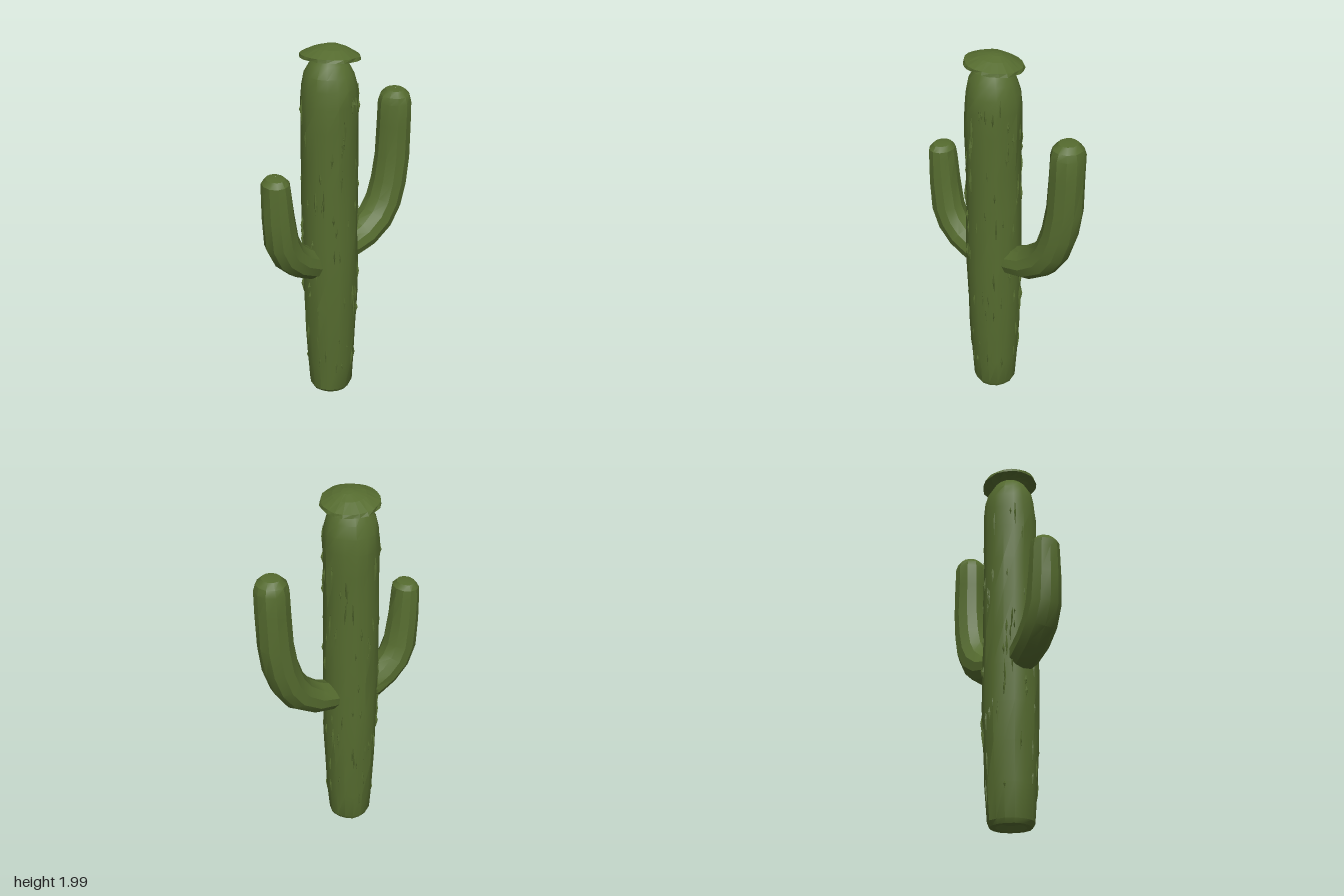
import * as THREE from 'three';
import { mergeGeometries, toCreasedNormals } from 'three/addons/utils/BufferGeometryUtils.js';

const TRUNK_Z = 0.062;

// small seeded random source
function seeded(seed) {
  return () => {
    seed = (seed * 16807) % 2147483647;
    return seed / 2147483647;
  };
}

// Skin a row of elliptical sections [y, z, rx, rn]; each lies across the path,
// or level when upright is true. Radii are roughened by the jitter amount.
function loft(sections, sides, { upright = false, jitter = 0, seed = 7, crease = 0.5 } = {}) {
  const rand = seeded(seed);
  const pos = [], index = [];
  sections.forEach(([y, z, rx, rn], i) => {
    const before = sections[Math.max(i - 1, 0)];
    const after = sections[Math.min(i + 1, sections.length - 1)];
    let ty = 1, tz = 0;
    if (!upright) {
      const len = Math.hypot(after[0] - before[0], after[1] - before[1]);
      ty = (after[0] - before[0]) / len;
      tz = (after[1] - before[1]) / len;
    }
    for (let j = 0; j < sides; j++) {
      const a = (j / sides) * Math.PI * 2;
      const k = 1 + (rand() - 0.5) * 2 * jitter;
      const n = Math.sin(a) * rn * k;
      pos.push(Math.cos(a) * rx * k, y - tz * n, z + ty * n);
    }
  });
  for (let i = 0; i < sections.length - 1; i++) {
    for (let j = 0; j < sides; j++) {
      const a = i * sides + j, b = i * sides + (j + 1) % sides;
      index.push(a, a + sides, b, b, a + sides, b + sides);
    }
  }
  const g = new THREE.BufferGeometry();
  g.setAttribute('position', new THREE.Float32BufferAttribute(pos, 3));
  g.setIndex(index);
  return toCreasedNormals(g, crease);
}

// Trunk profile [y, radius], from the hollow under the base to the crown
const trunkProfile = [
  [0.035, 0.001], [0.03, 0.05], [0.008, 0.075], [0.008, 0.105], [0.03, 0.117],
  [0.2, 0.128], [0.4, 0.138], [0.6, 0.144], [0.8, 0.147], [1.0, 0.144],
  [1.2, 0.143], [1.4, 0.14], [1.6, 0.142], [1.72, 0.142], [1.8, 0.135],
  [1.86, 0.118], [1.91, 0.09], [1.94, 0.06], [1.95, 0.001],
];

function trunkRadius(y) {
  const i = Math.max(trunkProfile.findIndex(p => p[0] > y && p[1] > 0.11), 5);
  const [y0, r0] = trunkProfile[i - 1], [y1, r1] = trunkProfile[i];
  return r0 + (r1 - r0) * (y - y0) / (y1 - y0);
}

// Narrow upright slivers of bark standing off the trunk
function barkRidges(count) {
  const rand = seeded(4321);
  const parts = [];
  for (let i = 0; i < count; i++) {
    const y = 0.18 + rand() * 1.58;
    const length = 0.04 + rand() * 0.13;
    const a = i * 2.39996 + rand() * 0.4;
    const r = trunkRadius(y) - 0.002;
    const g = new THREE.OctahedronGeometry(1);
    g.scale(0.004 + rand() * 0.004, length / 2, 0.006 + rand() * 0.006);
    g.rotateZ((rand() - 0.5) * 0.12);
    g.translate(0, y, r);
    g.rotateY(a);
    g.translate(0, 0, TRUNK_Z);
    parts.push(g);
  }
  return mergeGeometries(parts);
}

// Crown: ragged skirt of folds below, shallow tilted dome above
function crownGeometry() {
  const g = loft([
    [1.915, 0, 0.06, 0.06], [1.925, 0, 0.085, 0.085], [1.935, 0, 0.11, 0.105],
    [1.932, 0, 0.15, 0.143], [1.948, 0, 0.146, 0.138], [1.978, -0.005, 0.085, 0.08],
    [1.993, -0.015, 0.03, 0.03], [1.996, -0.015, 0.001, 0.001],
  ], 22, { upright: true, jitter: 0.025, seed: 99, crease: 0.45 });
  const p = g.attributes.position;
  for (let i = 0; i < p.count; i++) {
    const x = p.getX(i), z = p.getZ(i), r = Math.hypot(x, z);
    const fold = p.getY(i) < 1.94 && r < 0.125 ? Math.sin(Math.atan2(z, x) * 11 + 0.7) * 0.012 : 0;
    p.setY(i, Math.min(2, p.getY(i) + x * 0.07 + z * 0.1 + fold));
  }
  g.computeVertexNormals();
  g.translate(0, 0, 0.056);
  return g;
}

export function createModel() {
  const model = new THREE.Group();
  model.name = 'cactus';
  const green = new THREE.MeshStandardMaterial({ color: 0x556b2f });
  green.name = 'cactus green';

  const add = (name, geometry) => {
    const mesh = new THREE.Mesh(geometry, green);
    mesh.name = name;
    model.add(mesh);
  };

  add('trunk', loft(trunkProfile.map(([y, r]) => [y, TRUNK_Z, r, r]), 16,
    { upright: true, jitter: 0.025, seed: 21 }));
  add('barkRidges', barkRidges(110));
  add('crown', crownGeometry());

  // Short arm curving up at the front
  add('frontArm', loft([
    [0.83, 0.1, 0.07, 0.07], [0.85, 0.19, 0.083, 0.085], [0.9, 0.275, 0.09, 0.087],
    [0.965, 0.34, 0.09, 0.088], [1.05, 0.378, 0.09, 0.088], [1.2, 0.394, 0.086, 0.078],
    [1.34, 0.4, 0.08, 0.07], [1.385, 0.402, 0.075, 0.066], [1.41, 0.402, 0.052, 0.045],
    [1.42, 0.402, 0.001, 0.001],
  ], 11, { jitter: 0.02, seed: 5 }));

  // Taller arm curving up at the back
  add('backArm', loft([
    [0.86, 0.02, 0.07, 0.065], [0.873, -0.07, 0.088, 0.075], [0.9, -0.165, 0.097, 0.086],
    [0.965, -0.26, 0.1, 0.092], [1.05, -0.318, 0.1, 0.092], [1.16, -0.354, 0.098, 0.091],
    [1.3, -0.375, 0.095, 0.09], [1.48, -0.38, 0.091, 0.087], [1.6, -0.381, 0.089, 0.084],
    [1.635, -0.381, 0.078, 0.074], [1.662, -0.381, 0.05, 0.047], [1.669, -0.381, 0.001, 0.001],
  ], 11, { jitter: 0.02, seed: 13 }));

  return model;
}
